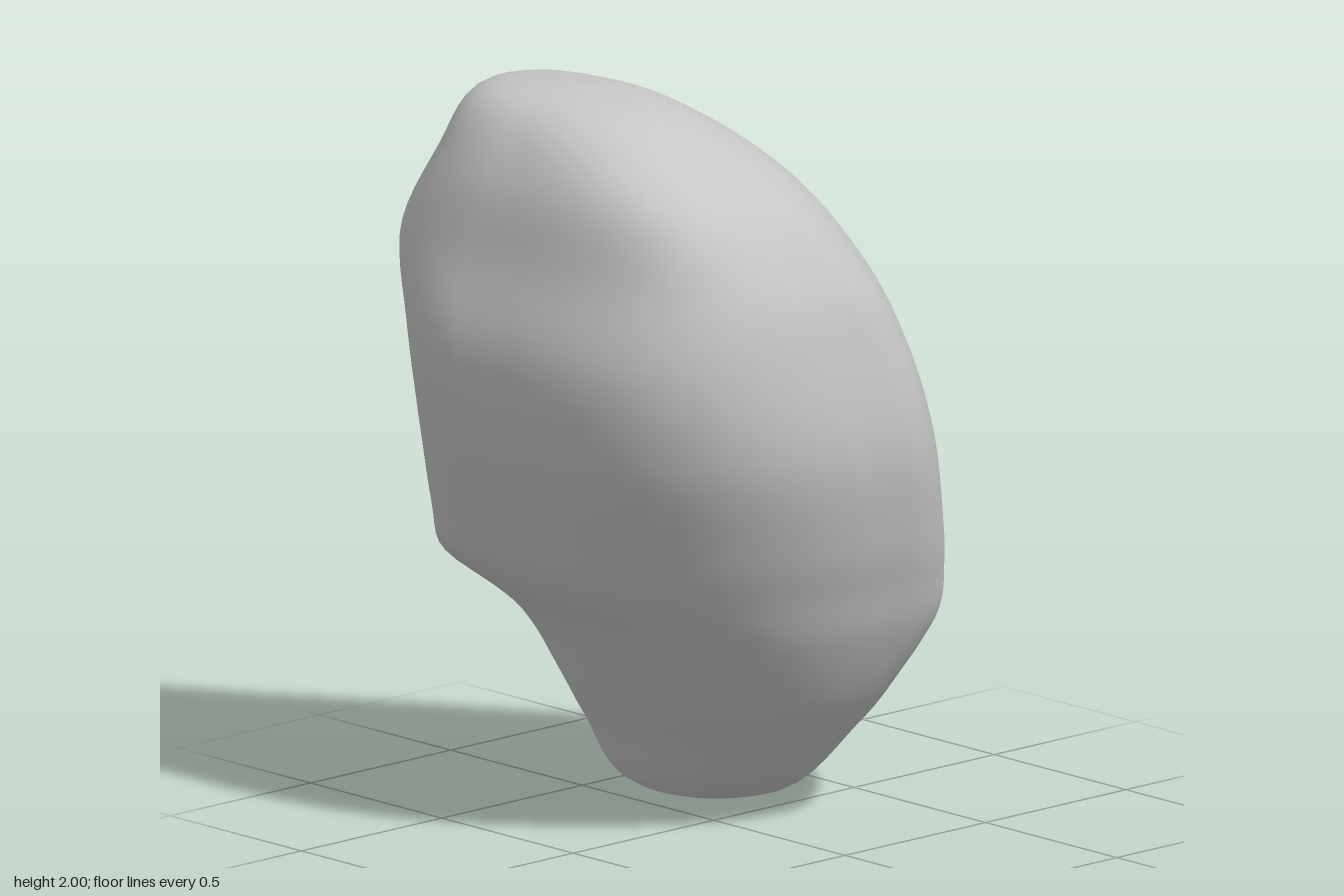
import * as THREE from 'three';
import { mergeVertices } from 'three/addons/utils/BufferGeometryUtils.js';

const QUARTER = 14, AROUND = QUARTER * 4, UP = 66;

// Outline extremes by height: front x,z / +x side x,z / back x,z / -x side x,z,
// then the fullness of the quarters: front +x, back +x, front -x
// (1 = round, below 1 = boxy, above 1 = pressed in)
const LEVELS = [
  [0.04, .22, .00, .44, -.25, .20, -.48, .00, -.22, 1, .9, 1],
  [0.22, .20, .22, .70, -.46, .25, -.58, -.14, -.20, 1.2, .6, .9],
  [0.36, .20, .36, .64, -.38, .22, -.58, -.25, -.18, 1.1, .8, .9],
  [0.55, .20, .48, .62, -.08, -.06, -.55, -.38, -.15, 1, .9, .85],
  [0.70, .19, .54, .59, -.07, -.44, -.53, -.51, -.16, 1, .65, .85],
  [0.85, .15, .59, .54, -.06, -.50, -.53, -.58, -.16, 1, .6, .8],
  [1.10, .09, .64, .45, -.04, -.50, -.55, -.67, -.16, 1, .8, .7],
  [1.35, .01, .62, .37, -.04, -.48, -.58, -.71, -.22, 1, 1.2, .62],
  [1.58, -.10, .56, .26, -.05, -.47, -.64, -.66, -.24, 1, 1.45, .6],
  [1.80, -.22, .40, .10, -.08, -.40, -.56, -.61, -.20, 1, 1.35, .6],
  [1.96, -.30, .09, -.11, -.17, -.30, -.50, -.50, -.22, 1, 1, .8],
];
const BOTTOM = new THREE.Vector3(.24, 0, -.22);
const TOP = new THREE.Vector3(-.31, 2, -.21);

// Closed outline made of four curved quarters between the extremes
function ring([y, frontX, frontZ, rightX, rightZ, backX, backZ, leftX, leftZ, frontRight, backRight, frontLeft]) {
  const quarters = [
    [frontX, frontZ, rightX, rightZ, frontRight],
    [backX, backZ, rightX, rightZ, backRight],
    [backX, backZ, leftX, leftZ, 1],
    [frontX, frontZ, leftX, leftZ, frontLeft],
  ];
  return Array.from({ length: AROUND }, (_, i) => {
    const q = Math.floor(i / QUARTER);
    const [poleX, poleZ, sideX, sideZ, power] = quarters[q];
    const angle = (i % QUARTER) / QUARTER * Math.PI / 2;
    const [a, b] = [Math.sin(angle) ** power, Math.cos(angle) ** power];
    const [toSide, toPole] = q % 2 ? [b, a] : [a, b];
    return new THREE.Vector3(
      poleX + (sideX - poleX) * toSide, y, sideZ + (poleZ - sideZ) * toPole);
  });
}

// Skin: a smooth curve from bottom to top through every ring
function bodyGeometry() {
  const rings = LEVELS.map(ring);
  const positions = [], index = [];
  for (let i = 0; i < AROUND; i++) {
    const column = [BOTTOM, ...rings.map((r) => r[i]), TOP];
    const curve = new THREE.CatmullRomCurve3(column, false, 'catmullrom', 0.5);
    for (let j = 0; j <= UP; j++) positions.push(...curve.getPoint(j / UP).toArray());
  }
  const row = UP + 1;
  for (let i = 0; i < AROUND; i++) {
    const a = i * row, b = ((i + 1) % AROUND) * row;
    for (let j = 0; j < UP; j++) {
      if (j > 0) index.push(a + j, b + j, b + j + 1);
      if (j < UP - 1) index.push(a + j, b + j + 1, a + j + 1);
    }
  }
  const geometry = new THREE.BufferGeometry();
  geometry.setAttribute('position', new THREE.Float32BufferAttribute(positions, 3));
  geometry.setIndex(index);
  const merged = mergeVertices(geometry, 1e-5);
  merged.computeVertexNormals();
  return merged;
}

export function createModel() {
  const group = new THREE.Group();
  group.name = 'curvedLump';
  const grey = new THREE.MeshStandardMaterial({ color: 0xc6c6c6 });
  grey.name = 'light grey';
  const body = new THREE.Mesh(bodyGeometry(), grey);
  body.name = 'body';
  group.add(body);
  return group;
}
